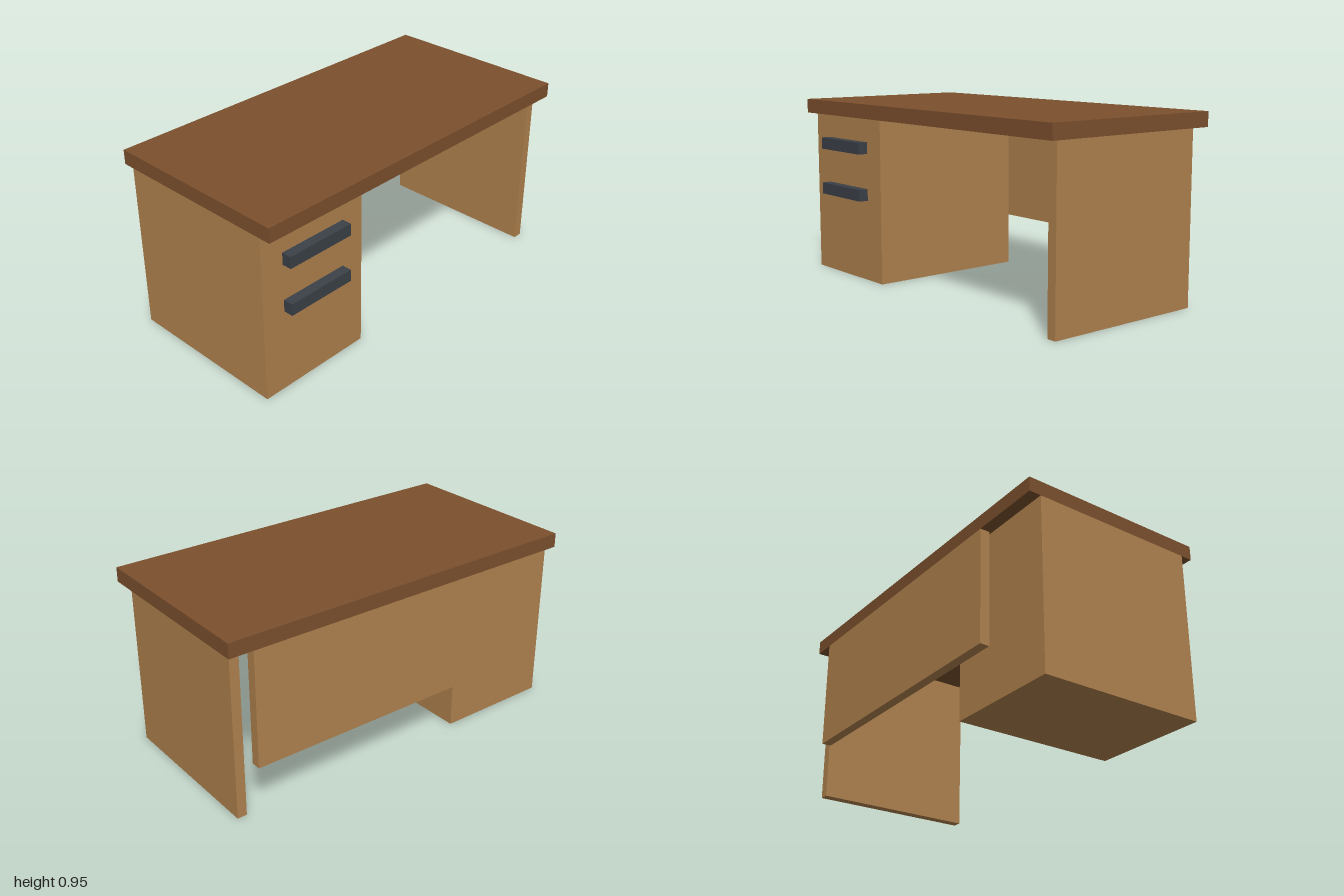
import * as THREE from 'three';

const mat = (name, color) => {
  const m = new THREE.MeshStandardMaterial({ color });
  m.name = name;
  return m;
};

export function createModel() {
  const desk = new THREE.Group();
  desk.name = 'desk';
  const darkWood = mat('darkWood', 0x7c502d);
  const lightWood = mat('lightWood', 0xb0824e);
  const handleGrey = mat('handleGrey', 0x3b4148);

  // Box given by its extents along each axis
  const box = (name, material, [x0, x1], [y0, y1], [z0, z1]) => {
    const mesh = new THREE.Mesh(new THREE.BoxGeometry(x1 - x0, y1 - y0, z1 - z0), material);
    mesh.position.set((x0 + x1) / 2, (y0 + y1) / 2, (z0 + z1) / 2);
    mesh.name = name;
    desk.add(mesh);
  };

  const depth = [-0.4375, 0.4375];

  box('tabletop', darkWood, [-1, 1], [0.876, 0.951], [-0.5, 0.5]);
  box('drawerPedestal', lightWood, [-1, -0.375], [0, 0.876], depth);
  box('sidePanel', lightWood, [0.9125, 0.9625], [0, 0.876], depth);
  box('modestyPanel', lightWood, [-0.625, 0.875], [0.276, 0.876], [-0.5, -0.45]);

  // Drawer handles
  for (const [name, y] of [['upperHandle', 0.714], ['lowerHandle', 0.464]]) {
    box(name, handleGrey, [-0.875, -0.5], [y - 0.031, y + 0.031], [0.4375, 0.4885]);
  }

  return desk;
}
